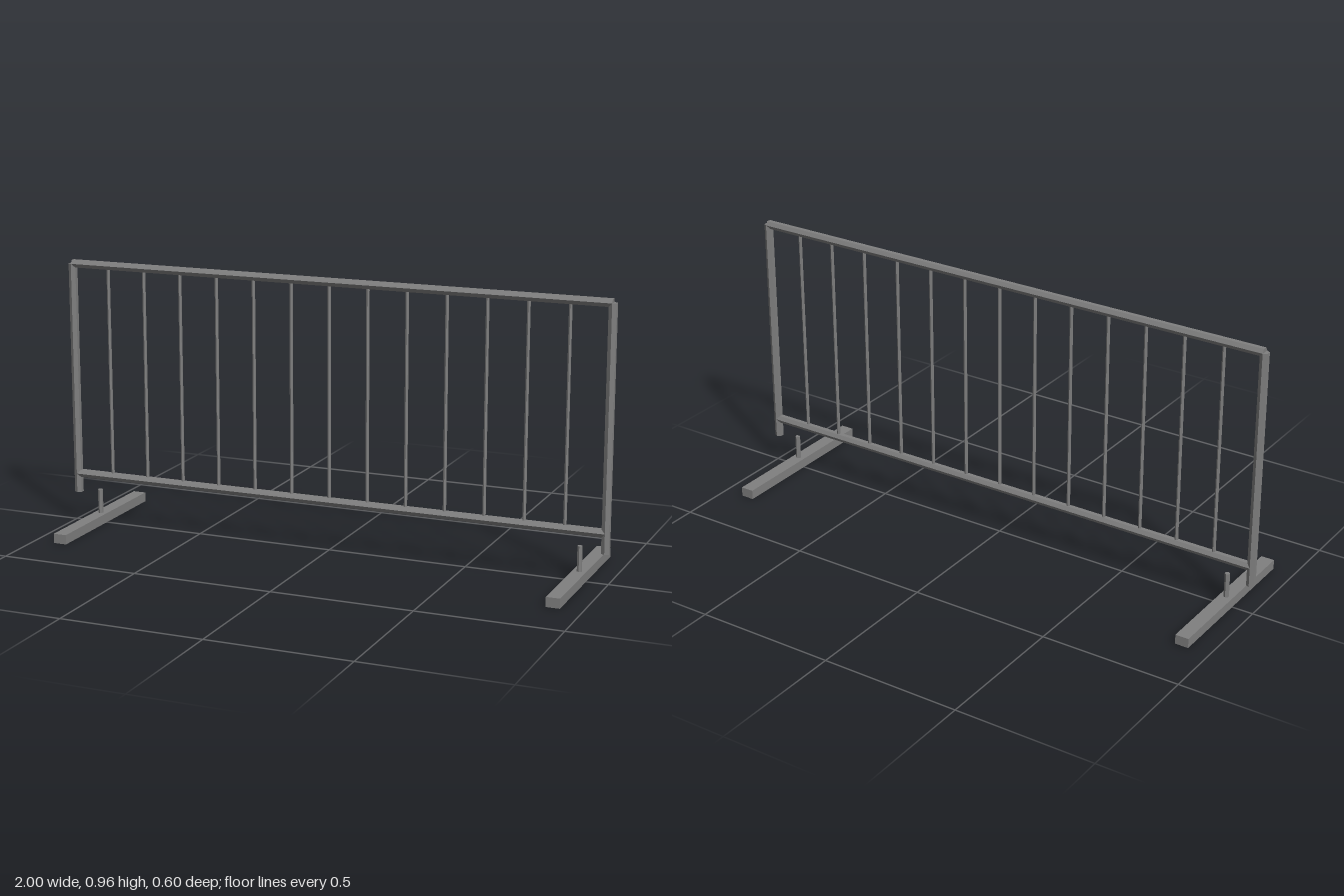
import * as THREE from 'three';

export function createModel() {
  const model = new THREE.Group();
  model.name = 'crowdBarrier';

  const steel = new THREE.MeshStandardMaterial({ color: 0x808080, flatShading: true });
  steel.name = 'grey steel';

  const add = (name, geometry, x, y, z = 0) => {
    const mesh = new THREE.Mesh(geometry, steel);
    mesh.name = name;
    mesh.position.set(x, y, z);
    model.add(mesh);
    return mesh;
  };

  // Six-sided tube, standing, with corners towards front and back
  const tube = (radius, length) => new THREE.CylinderGeometry(radius, radius, length, 6);

  const postX = 0.987, tubeR = 0.0155;
  const topY = 0.945, lowY = 0.175, postBottom = 0.105;

  // Horizontal rails
  for (const [name, y] of [['topRail', topY], ['bottomRail', lowY]]) {
    add(name, tube(tubeR, postX * 2), 0, y).rotation.z = Math.PI / 2;
  }

  // Thin upright bars between the rails
  const gaps = 14;
  for (let i = 1; i < gaps; i++) {
    add('bar', tube(0.006, topY - lowY), -postX + (2 * postX * i) / gaps, (topY + lowY) / 2);
  }

  // End posts and the separate feet with their pegs
  for (const [side, s] of [['left', 1], ['right', -1]]) {
    add(side + 'Post', tube(tubeR, topY - postBottom), s * postX, (topY + postBottom) / 2);
    add(side + 'Foot', new THREE.BoxGeometry(0.048, 0.034, 0.6), s * 0.9, 0.017);
    add(side + 'Peg', tube(0.009, 0.09), s * 0.9, 0.077);
  }

  return model;
}
